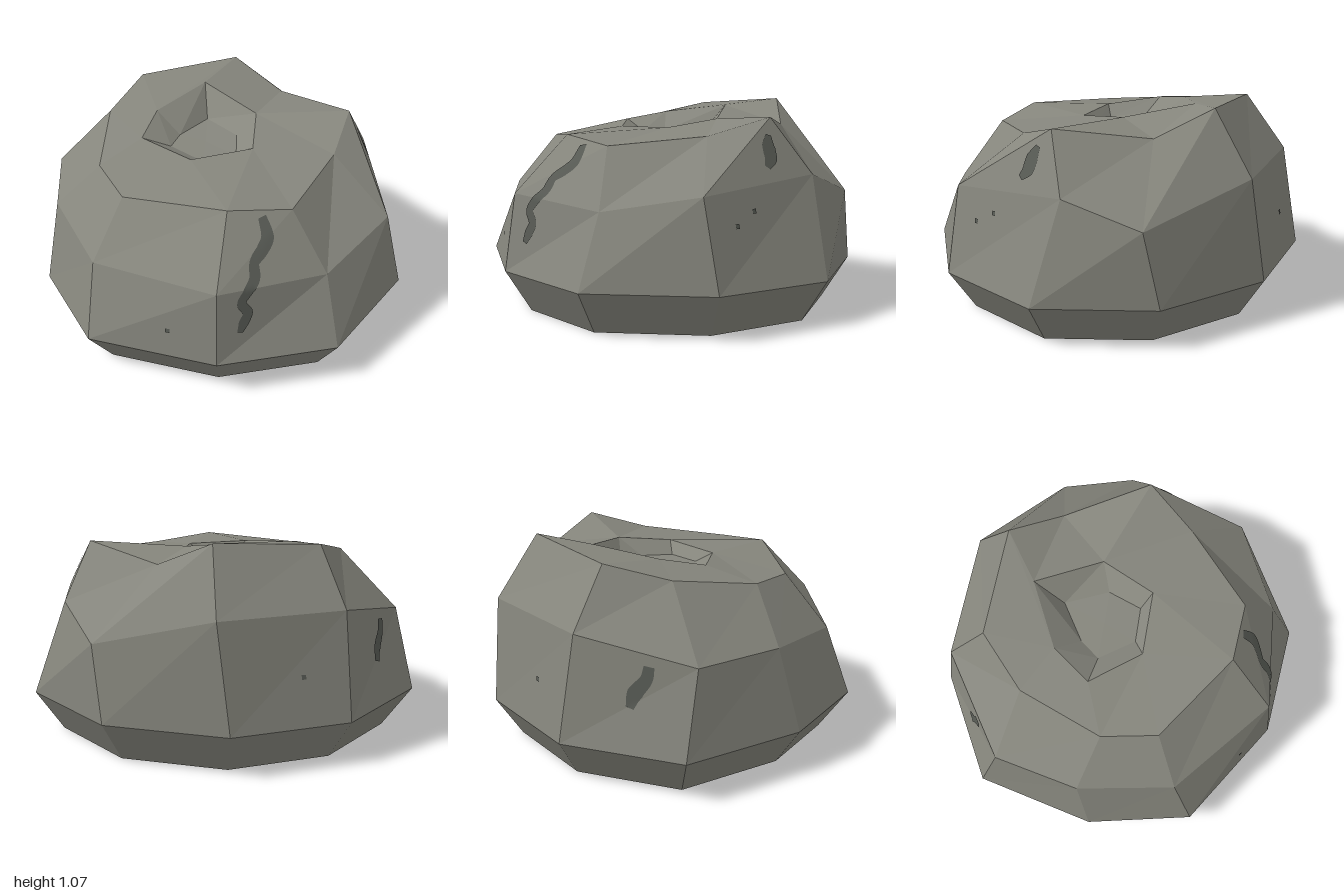
import * as THREE from 'three';

const stone = new THREE.MeshStandardMaterial({ color: 0x86867d });
stone.name = 'stone';
stone.flatShading = true;
const crackMat = new THREE.MeshStandardMaterial({ color: 0x585b55, side: THREE.DoubleSide });
crackMat.name = 'dark crack';

// Rings of the boulder, bottom to top, each starting at the back and going towards +x
const widest = [[0.14, -0.95], [0.70, -0.67], [1.0, -0.14], [0.88, 0.46], [0.42, 0.91],
  [-0.19, 0.94], [-0.80, 0.66], [-1.0, 0.14], [-0.96, -0.50], [-0.47, -0.89]];
const base = widest.map(([x, z]) => [x * 0.86, 0, z * 0.86]);
const skirt = widest.map(([x, z]) => [x, 0.22, z]);
const middle = [[0.19, 0.755, -0.88], [0.73, 0.60, -0.59], [0.83, 0.72, -0.21], [0.77, 0.66, 0.46],
  [0.38, 0.575, 0.76], [-0.18, 0.615, 0.88], [-0.74, 0.60, 0.53], [-0.91, 0.645, 0.06],
  [-0.89, 0.64, -0.39], [-0.46, 0.75, -0.79]];
const shoulder = [[0.16, 1.07, -0.66], [0.39, 0.94, -0.45], [0.68, 1.0, -0.06], [0.53, 0.91, 0.22],
  [0.23, 0.865, 0.60], [-0.09, 0.905, 0.62], [-0.57, 0.87, 0.38], [-0.67, 0.89, 0.11],
  [-0.59, 0.96, -0.33], [-0.39, 1.035, -0.59]];
// Six-sided hollow in the top
const rim = [[-0.05, 1.03, -0.45], [0.19, 0.97, -0.16], [0.12, 0.93, 0.13],
  [-0.21, 0.925, 0.18], [-0.44, 0.95, -0.03], [-0.34, 0.99, -0.24]];
const floor = [[-0.06, 0.885, -0.29], [0.07, 0.885, -0.09], [0.04, 0.87, 0.09],
  [-0.14, 0.87, 0.12], [-0.29, 0.885, -0.03], [-0.23, 0.885, -0.14]];
// Which rim corner each shoulder corner joins
const rimFor = [0, 1, 1, 2, 2, 3, 3, 4, 5, 5].map(i => rim[i]);

// Joins two rings with triangles, leaving out the collapsed ones
function band(out, lower, upper) {
  const n = lower.length;
  for (let i = 0; i < n; i++) {
    const j = (i + 1) % n;
    const a = lower[i], b = lower[j], c = upper[j], d = upper[i];
    if (a !== b) out.push(...a, ...d, ...b);
    if (c !== d) out.push(...d, ...c, ...b);
  }
}

function boulder() {
  const pos = [];
  const bottomCentre = [0, 0, 0];
  const floorCentre = [-0.1, 0.88, -0.06];
  band(pos, base.map(() => bottomCentre), base);
  band(pos, base, skirt);
  band(pos, skirt, middle);
  band(pos, middle, shoulder);
  band(pos, shoulder, rimFor);
  band(pos, rim, floor);
  band(pos, floor, floor.map(() => floorCentre));
  const g = new THREE.BufferGeometry();
  g.setAttribute('position', new THREE.Float32BufferAttribute(pos, 3));
  g.computeVertexNormals();
  const mesh = new THREE.Mesh(g, stone);
  mesh.name = 'boulder';
  return mesh;
}

// Thin ribbon laid on the rock: a path with widths, dropped on the surface from one side
function crack(name, rock, points, widths, outward) {
  const out = new THREE.Vector3(...outward).normalize();
  const ray = new THREE.Raycaster();
  const curve = new THREE.CatmullRomCurve3(points.map(p => new THREE.Vector3(...p)));
  const steps = points.length * 6, cols = 3;
  const pos = [], index = [];
  for (let i = 0; i <= steps; i++) {
    const t = i / steps;
    const p = curve.getPoint(t);
    const side = curve.getTangent(t).cross(out).normalize();
    const f = t * (widths.length - 1), k = Math.min(Math.floor(f), widths.length - 2);
    const width = THREE.MathUtils.lerp(widths[k], widths[k + 1], f - k);
    for (let j = 0; j <= cols; j++) {
      const q = p.clone().addScaledVector(side, (j / cols - 0.5) * width);
      ray.set(q.clone().addScaledVector(out, 2), out.clone().negate());
      const hit = ray.intersectObject(rock)[0];
      if (hit) q.copy(hit.point).addScaledVector(hit.face.normal, 0.005);
      pos.push(q.x, q.y, q.z);
      if (i < steps && j < cols) {
        const a = i * (cols + 1) + j, b = a + cols + 1;
        index.push(a, b, a + 1, a + 1, b, b + 1);
      }
    }
  }
  const g = new THREE.BufferGeometry();
  g.setAttribute('position', new THREE.Float32BufferAttribute(pos, 3));
  g.setIndex(index);
  g.computeVertexNormals();
  // Normals should point away from the rock
  const n = g.attributes.normal;
  if (new THREE.Vector3().fromBufferAttribute(n, 0).dot(out) < 0) {
    g.setIndex(index.reverse());
    g.computeVertexNormals();
  }
  const mesh = new THREE.Mesh(g, crackMat);
  mesh.name = name;
  return mesh;
}

export function createModel() {
  const group = new THREE.Group();
  group.name = 'rock';
  const rock = boulder();
  group.add(rock);

  // Long winding crack on the front
  const front = [[0.075, 0.86], [0.09, 0.78], [0.06, 0.74], [0.015, 0.70], [0.01, 0.64],
    [-0.03, 0.59], [-0.06, 0.54], [-0.03, 0.48], [-0.05, 0.43], [-0.07, 0.38]];
  group.add(crack('frontCrack', rock, front.map(([x, y]) => [x, y, 0.8]),
    [0.04, 0.065, 0.06, 0.05, 0.055, 0.05, 0.045, 0.05, 0.055, 0.03], [0, 0, 1]));

  // Short cracks on the +x side and the back corner
  const side = [[-0.01, 0.915], [0.01, 0.86], [0.02, 0.81], [0.055, 0.765]];
  group.add(crack('sideCrack', rock, side.map(([z, y]) => [0.75, y, z]),
    [0.03, 0.075, 0.075, 0.03], [1, 0, 0]));
  group.add(crack('backCrack', rock,
    [[-0.75, 0.63, -0.58], [-0.745, 0.57, -0.59], [-0.72, 0.50, -0.64], [-0.71, 0.43, -0.66]],
    [0.05, 0.06, 0.075, 0.04], [-0.53, 0, -0.85]));

  // Small pits
  const pits = [
    [[-0.41, 0.37, 0.8], [0, 0, 1]],
    [[0.8, 0.515, 0.30], [1, 0, 0]],
    [[0.8, 0.575, 0.19], [1, 0, 0]],
    [[-0.25, 0.46, -0.9], [-0.53, 0, -0.85]],
  ];
  for (const [[x, y, z], dir] of pits) {
    group.add(crack('pit', rock, [[x, y + 0.011, z], [x, y - 0.011, z]], [0.02, 0.02], dir));
  }
  return group;
}
